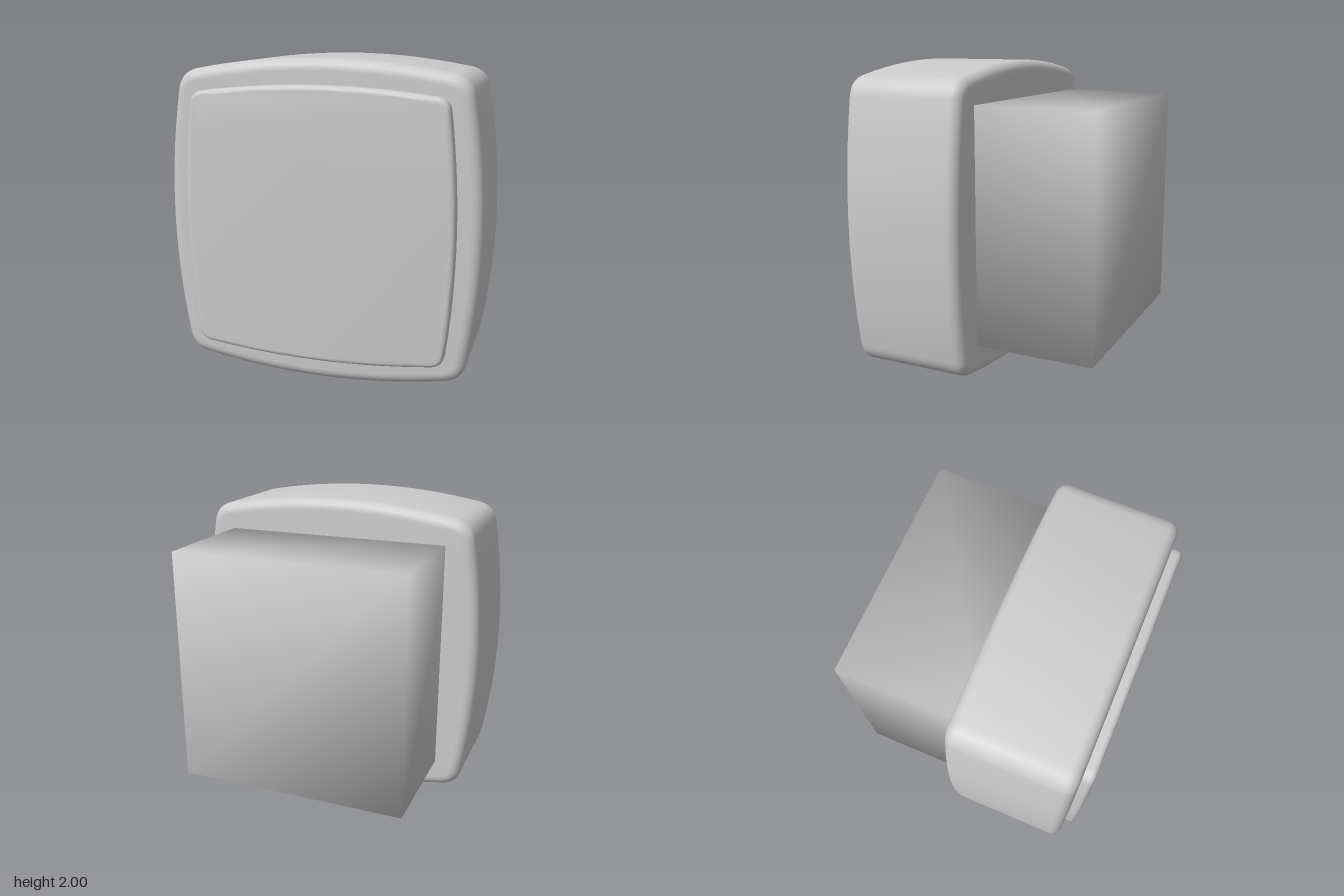
import * as THREE from 'three';
import { mergeVertices, toCreasedNormals } from 'three/addons/utils/BufferGeometryUtils.js';

// Bulged square outline: h = half size at mid-edge, (a, e) = point where the edge meets the rounded corner
function bulgedSquare(h, a, e, width) {
  const slope = (2 * (h - e)) / a;
  const c = (e + slope * a) / (1 + slope);
  const shape = new THREE.Shape();
  for (let i = 0; i < 4; i++) {
    const turn = (x, y) => {
      for (let k = 0; k < i; k++) [x, y] = [-y, x];
      return [x * width, y];
    };
    if (i === 0) shape.moveTo(...turn(a, e));
    shape.quadraticCurveTo(...turn(0, 2 * h - e), ...turn(-a, e));
    shape.quadraticCurveTo(...turn(-c, c), ...turn(-e, a));
  }
  return shape;
}

// Extruded slab with a rounded rim, spanning z0 to z1
function slab(name, shape, z0, z1, rim, material) {
  const geometry = new THREE.ExtrudeGeometry(shape, {
    depth: z1 - z0 - 2 * rim,
    curveSegments: 14,
    bevelEnabled: true,
    bevelSize: rim,
    bevelThickness: rim,
    bevelOffset: -rim,
    bevelSegments: 6,
  });
  geometry.translate(0, 1, z0 + rim);
  const mesh = new THREE.Mesh(toCreasedNormals(geometry, 0.6), material);
  mesh.name = name;
  return mesh;
}

export function createModel() {
  const grey = new THREE.MeshStandardMaterial({ color: 0xcccccc });
  grey.name = 'grey';
  const model = new THREE.Group();
  model.name = 'monitor';

  // Bulged casing and the raised panel on its front
  model.add(slab('casing', bulgedSquare(1, 0.8, 0.925, 0.987), -0.05, 0.745, 0.07, grey));
  model.add(slab('frontPanel', bulgedSquare(0.847, 0.72, 0.8, 0.99), 0.68, 0.815, 0.03, grey));

  // Rear box with corner normals shared between its faces
  const box = new THREE.BoxGeometry(1.485, 1.5, 0.92);
  box.deleteAttribute('normal');
  box.deleteAttribute('uv');
  const smoothBox = mergeVertices(box);
  smoothBox.computeVertexNormals();
  const rear = new THREE.Mesh(smoothBox, grey);
  rear.name = 'rearBox';
  rear.position.set(0, 1.01, -0.355);
  model.add(rear);

  return model;
}
